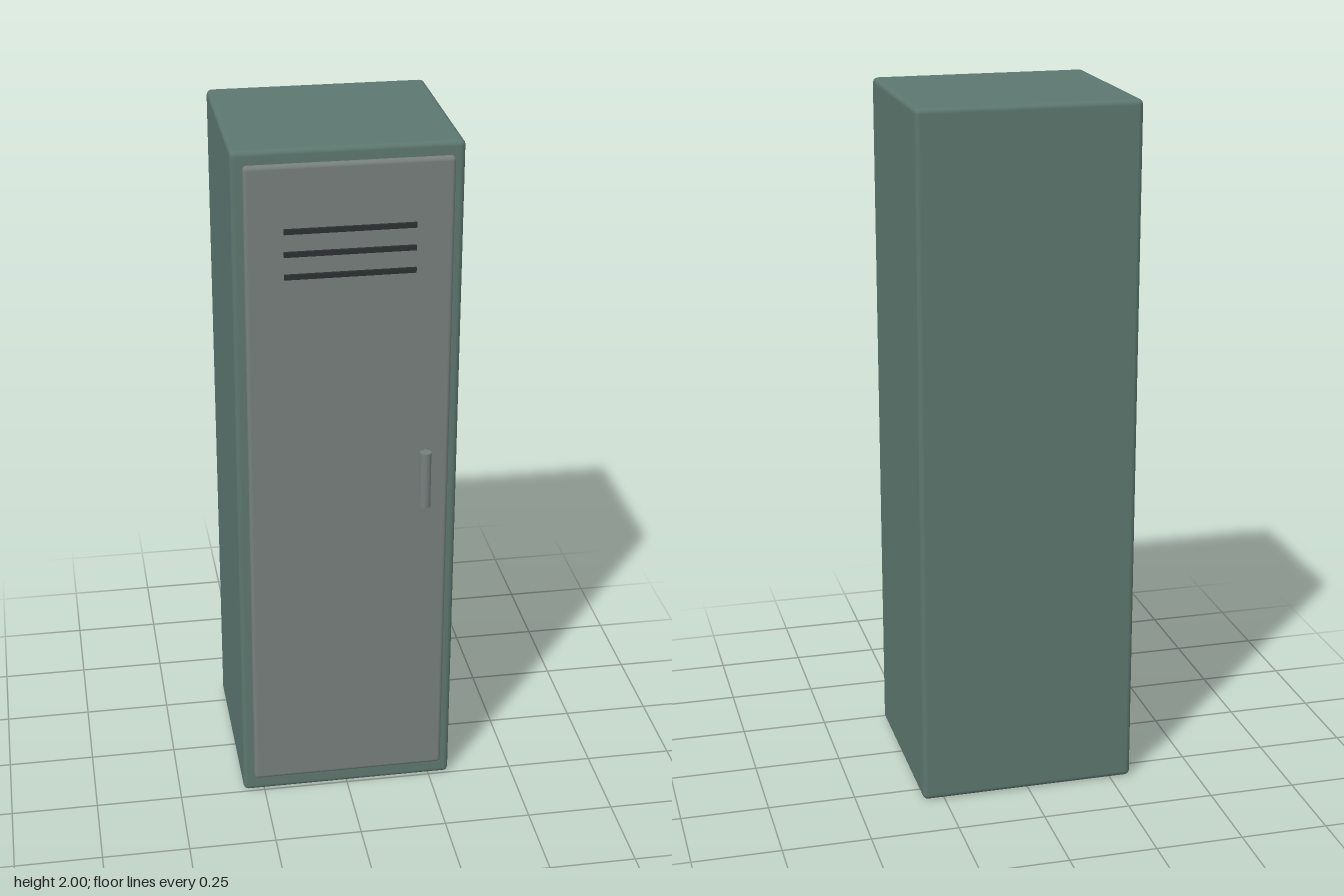
import * as THREE from 'three';
import { RoundedBoxGeometry } from 'three/addons/geometries/RoundedBoxGeometry.js';

const paint = (color) => new THREE.MeshStandardMaterial({ color });

export function createModel() {
  const locker = new THREE.Group();
  locker.name = 'locker';
  const green = paint(0x5c776f);
  const steel = paint(0x767f7d);
  const dark = paint(0x2c3030);

  const add = (name, geometry, material, x, y, z) => {
    const mesh = new THREE.Mesh(geometry, material);
    mesh.name = name;
    mesh.position.set(x, y, z);
    locker.add(mesh);
  };

  // Cabinet with softened edges
  add('cabinet', new RoundedBoxGeometry(0.623, 1.995, 0.57, 2, 0.015), green, 0, 1.0025, -0.038);

  // Door panel, just proud of the cabinet front
  add('door', new RoundedBoxGeometry(0.562, 1.905, 0.024, 3, 0.0118), steel, 0, 1.0135, 0.261);

  // Ventilation slats
  for (let i = 0; i < 3; i++) {
    add(`ventSlat${i + 1}`, new THREE.BoxGeometry(0.355, 0.014, 0.008), dark, 0, 1.786 - i * 0.0635, 0.279);
  }

  // Upright round handle
  add('handle', new THREE.CylinderGeometry(0.016, 0.016, 0.168, 20), steel, 0.208, 1.043, 0.306);

  return locker;
}
